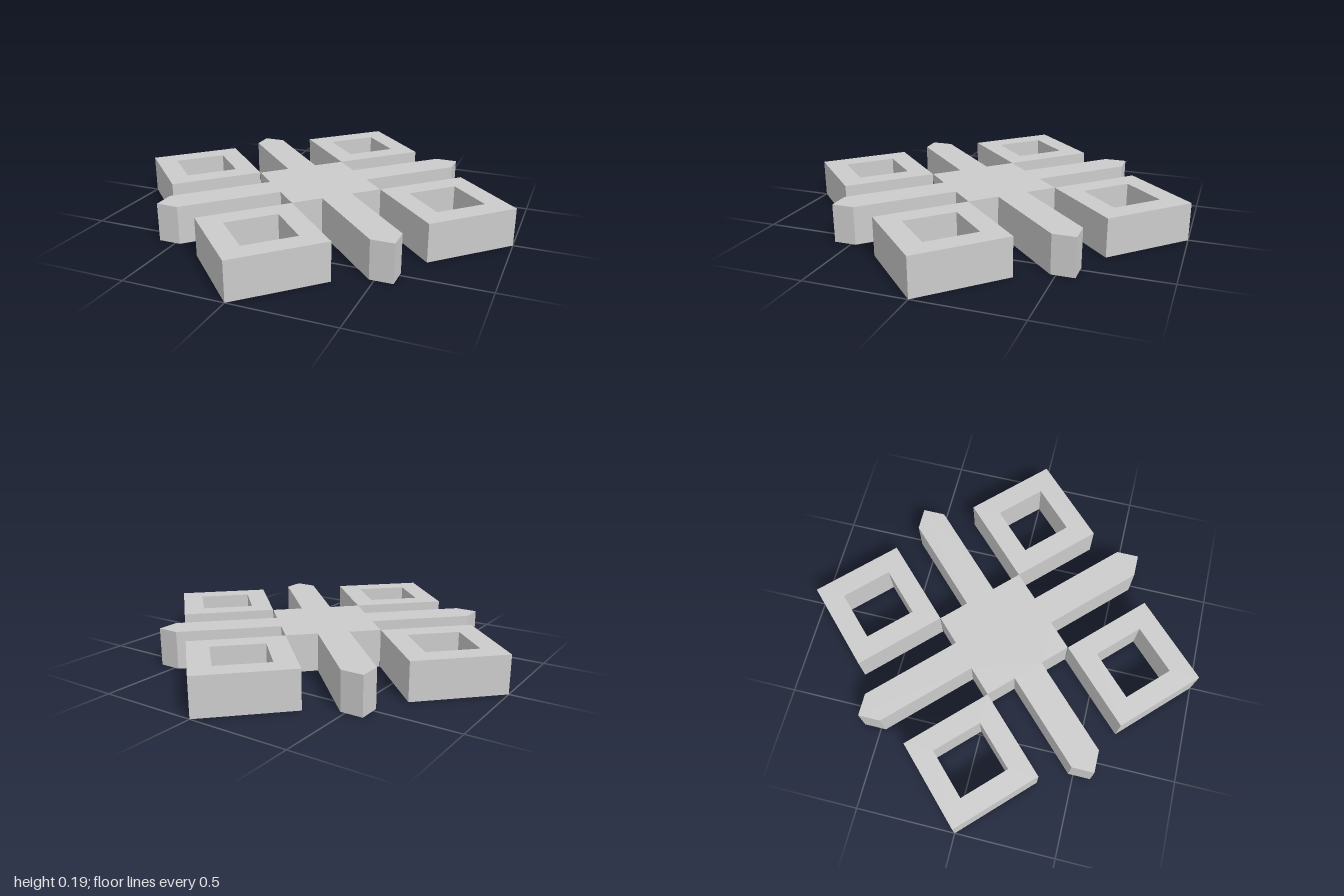
import * as THREE from 'three';

const HEIGHT = 0.19;
const CORNER = 0.333; // half diagonal of the core and of each frame
const HOLE = 0.185;   // half diagonal of a frame opening

const diamond = (r) => [[r, 0], [0, r], [-r, 0], [0, -r]].map(([x, y]) => new THREE.Vector2(x, y));

// Extrude a plan outline upward from y = 0
function slab(shape, material, name) {
  const geometry = new THREE.ExtrudeGeometry(shape, { depth: HEIGHT, bevelEnabled: false });
  geometry.rotateX(-Math.PI / 2);
  const mesh = new THREE.Mesh(geometry, material);
  mesh.name = name;
  return mesh;
}

export function createModel() {
  const model = new THREE.Group();
  model.name = 'snowflake';
  const material = new THREE.MeshStandardMaterial({ color: 0xcccccc, flatShading: true });

  // Diamond core with four diagonal arms: one quadrant turned four times
  const quadrant = [[CORNER, 0], [0.222, 0.111], [0.587, 0.476], [0.587, 0.587], [0.476, 0.587], [0.111, 0.222]];
  const outline = [];
  for (let i = 0; i < 4; i++) {
    for (const [x, y] of quadrant) {
      outline.push(new THREE.Vector2(x, y).rotateAround(new THREE.Vector2(), i * Math.PI / 2));
    }
  }
  model.add(slab(new THREE.Shape(outline), material, 'crossedArms'));

  // Open diamond frames, each touching a corner of the core
  const frame = new THREE.Shape(diamond(CORNER));
  frame.holes.push(new THREE.Path(diamond(HOLE).reverse()));
  const sides = [['leftFrame', 1, 0], ['rightFrame', -1, 0], ['frontFrame', 0, 1], ['backFrame', 0, -1]];
  for (const [name, x, z] of sides) {
    const mesh = slab(frame, material, name);
    mesh.position.set(x * (1 - CORNER), 0, z * (1 - CORNER));
    model.add(mesh);
  }

  return model;
}
